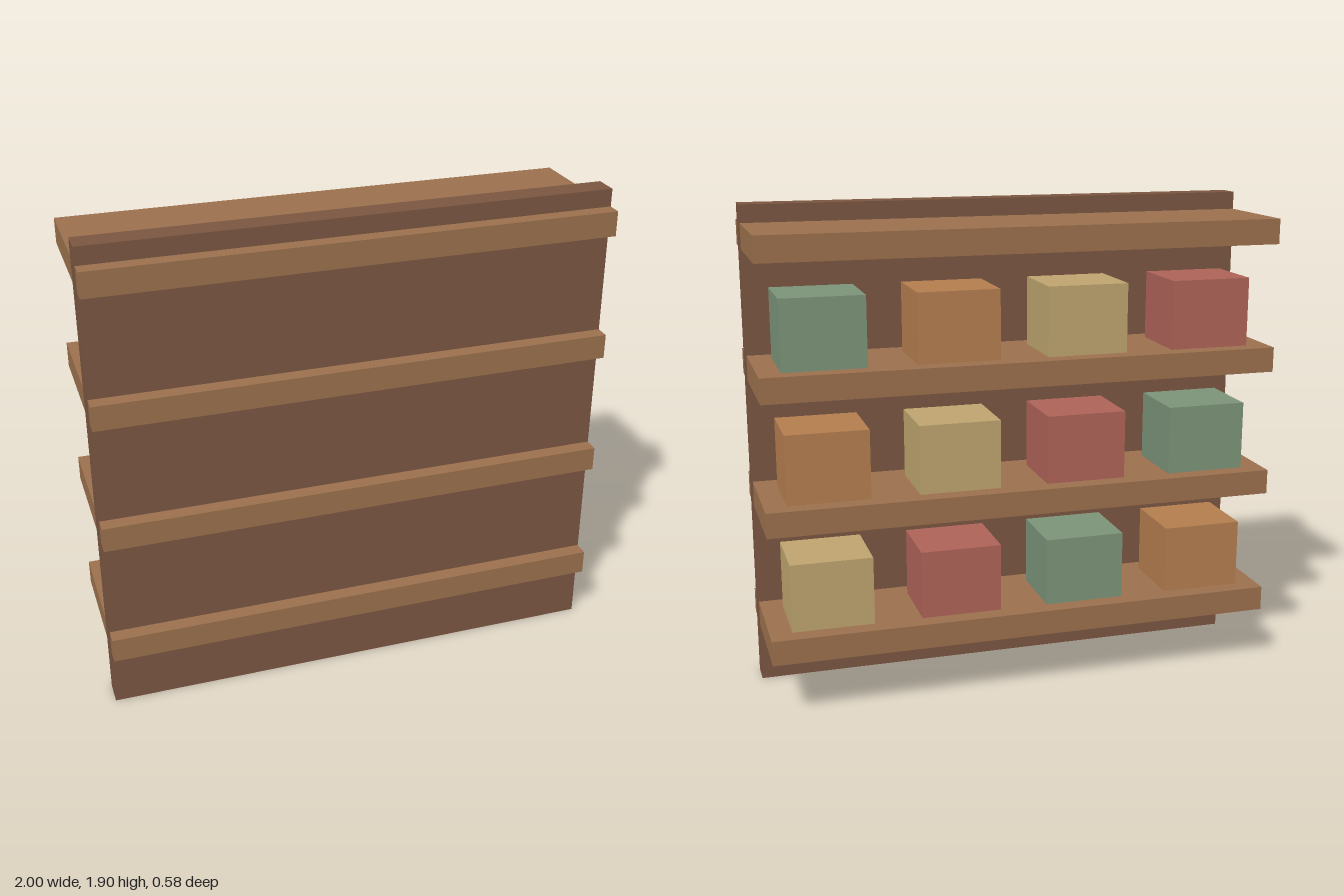
import * as THREE from 'three';

const material = (name, color) => {
  const m = new THREE.MeshStandardMaterial({ color });
  m.name = name;
  return m;
};

export function createModel() {
  const group = new THREE.Group();
  group.name = 'shelfUnit';

  const darkWood = material('darkWood', 0x7a5641);
  const lightWood = material('lightWood', 0x9b704d);
  const crateColours = [
    material('sageGreen', 0x7b9378),
    material('orange', 0xb37d4e),
    material('straw', 0xbea46e),
    material('brickRed', 0xae6358),
  ];

  const addBox = (name, mat, [w, h, d], [x, y, z]) => {
    const mesh = new THREE.Mesh(new THREE.BoxGeometry(w, h, d), mat);
    mesh.name = name;
    mesh.position.set(x, y, z);
    group.add(mesh);
  };

  // Upright panel, running the full width
  addBox('panel', darkWood, [2, 1.9, 0.097], [0, 0.95, 0.18]);

  // Four boards pass through the panel, a hair shorter so the ends do not flicker
  const thickness = 0.097;
  for (let i = 0; i < 4; i++) {
    const y = 0.283 + i * 0.5;
    addBox('shelf', lightWood, [1.998, thickness, 0.576], [0, y, 0]);
    if (i === 3) continue; // the top board is empty

    // Row of crates; the colour order shifts by one per shelf
    [0.755, 0.252, -0.252, -0.755].forEach((x, j) => {
      const mat = crateColours[(j + 2 - i + 4) % 4];
      addBox('crate', mat, [0.316, 0.268, 0.28], [x, y + thickness / 2 + 0.134, -0.08]);
    });
  }
  return group;
}
